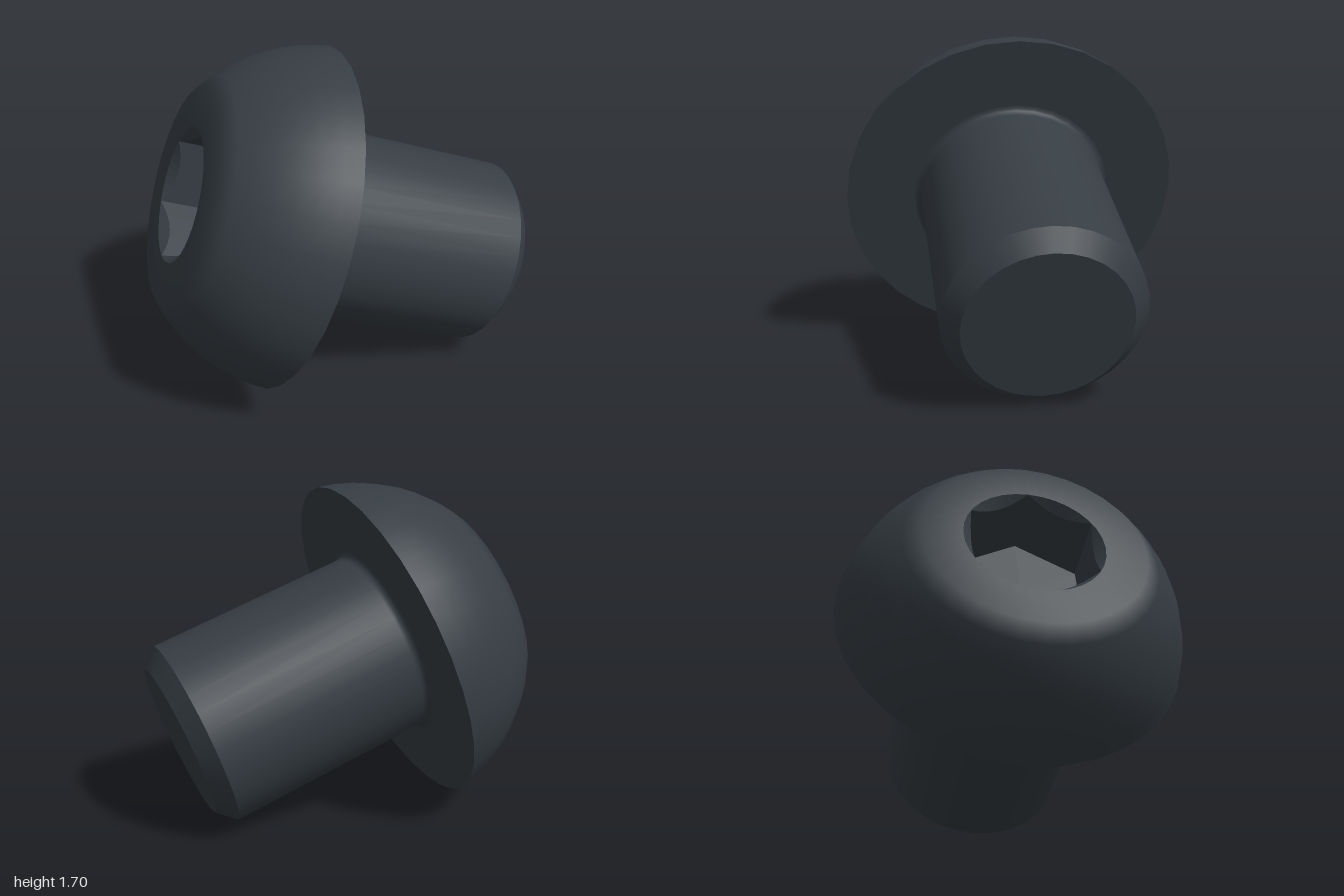
import * as THREE from 'three';

const SEG = 32;
const HEAD_R = 0.893, HEAD_H = 0.569, FLAT_R = 0.55;   // domed head
const SHANK_R = 0.495, TIP_R = 0.408, LENGTH = 1.205, CHAMFER = 0.087, FILLET = 0.035;
const SOCKET_R = 0.344, SOCKET_DEPTH = 0.33;            // hexagon socket

// Points on an arc in the profile plane (radius, height)
function arc(cx, cy, r, a0, a1, n) {
  return Array.from({ length: n + 1 }, (_, i) => {
    const a = a0 + (a1 - a0) * i / n;
    return [cx + r * Math.cos(a), cy + r * Math.sin(a)];
  });
}

// Wall between two rings of points, facing the axis
function innerBand(upper, lower) {
  const pos = [];
  for (let i = 0; i < upper.length - 1; i++) {
    const [a, b, c, d] = [upper[i], lower[i], upper[i + 1], lower[i + 1]];
    pos.push(...a, ...b, ...c, ...c, ...b, ...d);
  }
  const geo = new THREE.BufferGeometry();
  geo.setAttribute('position', new THREE.Float32BufferAttribute(pos, 3));
  geo.computeVertexNormals();
  return geo;
}

export function createModel() {
  const steel = new THREE.MeshStandardMaterial({ color: 0x363d43 });
  steel.name = 'dark steel';
  const model = new THREE.Group();
  model.name = 'buttonHeadScrew';

  const add = (name, geometry) => {
    const mesh = new THREE.Mesh(geometry, steel);
    mesh.name = name;
    model.add(mesh);
  };
  const turn = (name, points) =>
    add(name, new THREE.LatheGeometry(points.map(p => new THREE.Vector2(...p)), SEG));

  // Shank, from the tip up to the fillet under the head
  turn('tipFace', [[0, -LENGTH], [TIP_R, -LENGTH]]);
  turn('tipChamfer', [[TIP_R, -LENGTH], [SHANK_R, -LENGTH + CHAMFER]]);
  turn('shank', [[SHANK_R, -LENGTH + CHAMFER], [SHANK_R, -FILLET - 0.01],
    ...arc(SHANK_R + FILLET, -FILLET, FILLET, Math.PI, Math.PI / 2, 4)]);

  // Head: flat underside, spherical dome and a flat crown around the socket
  turn('headUnderside', [[SHANK_R + FILLET, 0], [HEAD_R, 0]]);
  const cy = -0.15;
  const sphereR = Math.hypot(HEAD_R, cy);
  turn('headDome', [
    ...arc(0, cy, sphereR, Math.asin(-cy / sphereR), Math.acos(FLAT_R / sphereR), 7),
    [SOCKET_R, HEAD_H + 0.003]]);

  // Socket: conical lead-in cut by six flat walls, and a flat floor
  const rim = [], edge = [], floor = [];
  const steps = 48, apothem = SOCKET_R * Math.cos(Math.PI / 6);
  for (let i = 0; i <= steps; i++) {
    const a = i / steps * Math.PI * 2;
    const r = apothem / Math.cos((a % (Math.PI / 3)) - Math.PI / 6);
    const ring = (radius, y) => [radius * Math.cos(a), y, radius * Math.sin(a)];
    rim.push(ring(SOCKET_R, HEAD_H + 0.003));
    edge.push(ring(r, HEAD_H + 0.003 - (SOCKET_R - r)));
    floor.push(ring(r, HEAD_H - SOCKET_DEPTH));
  }
  add('socketLeadIn', innerBand(rim, edge));
  add('socketWalls', innerBand(edge, floor));
  add('socketFloor', new THREE.CircleGeometry(SOCKET_R, 6)
    .rotateX(-Math.PI / 2).translate(0, HEAD_H - SOCKET_DEPTH, 0));

  // Lean the screw so that its head points left, up and slightly back
  const up = new THREE.Vector3(-0.922, 0.332, -0.198).normalize();
  const side = new THREE.Vector3(0, 1, 0).addScaledVector(up, -up.y).normalize();
  const basis = new THREE.Matrix4().makeBasis(side, up, side.clone().cross(up));
  model.quaternion.setFromRotationMatrix(basis);
  model.position.set(-0.267, 0.845, 0);

  const root = new THREE.Group();
  root.name = 'screw';
  root.add(model);
  return root;
}
